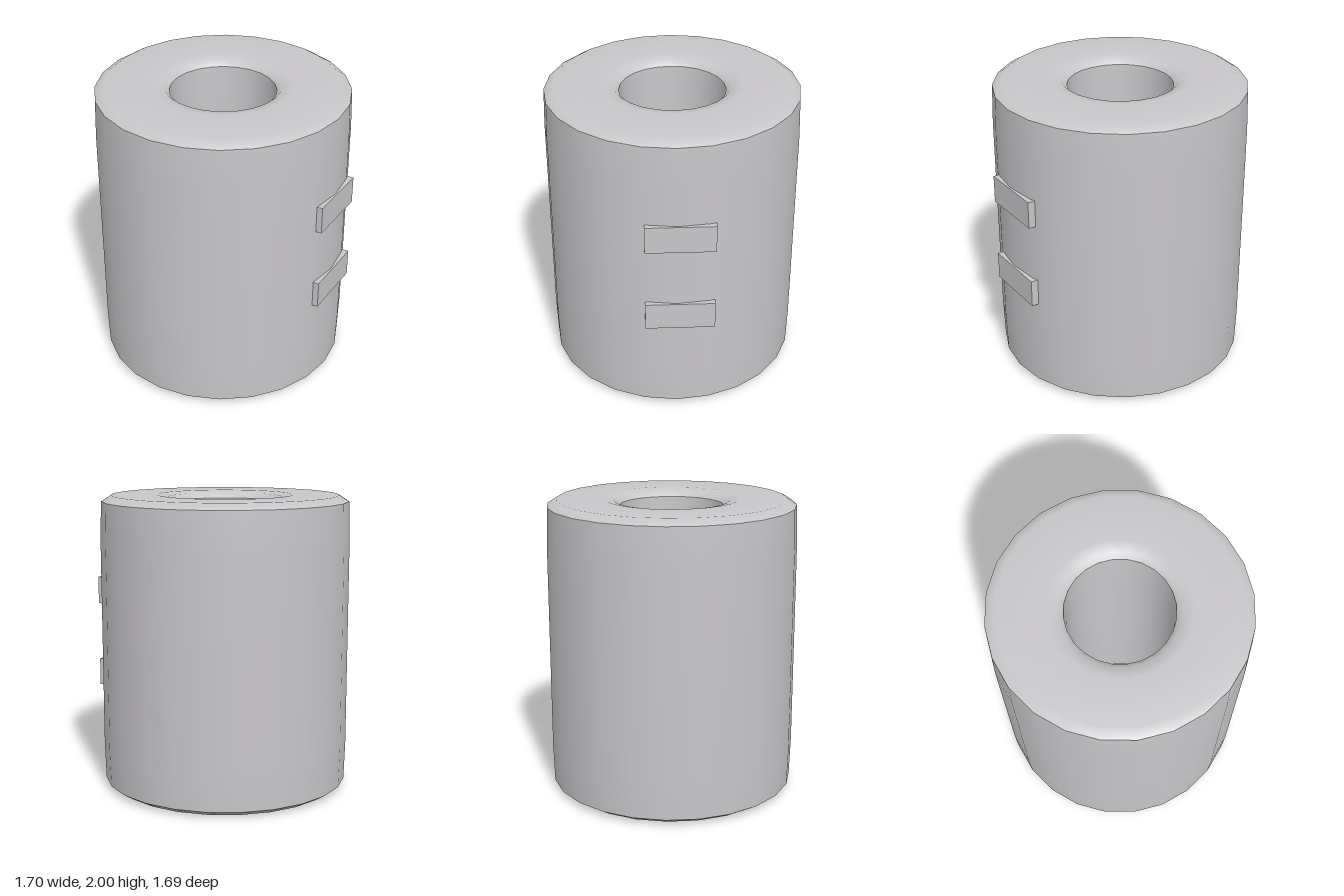
import * as THREE from 'three';

export function createModel() {
  const model = new THREE.Group();
  const grey = new THREE.MeshStandardMaterial({ color: 0xc8c6c9 });
  grey.name = 'light grey';

  const sleeve = new THREE.Group();
  sleeve.name = 'sleeve';
  sleeve.position.x = -0.007;
  model.add(sleeve);

  // Each surface is turned on its own, so the rims between them stay sharp
  const turn = (name, profile) => {
    const points = profile.map(([r, y]) => new THREE.Vector2(r, y));
    const mesh = new THREE.Mesh(new THREE.LatheGeometry(points, 24), grey);
    mesh.name = name;
    sleeve.add(mesh);
  };

  // Slightly barrelled outside
  turn('outerWall', [[0.835, 0.04], [0.843, 0.3], [0.843, 1.7], [0.835, 1.96]]);
  // Ends with softened outer and inner rims
  turn('topEnd', [[0.835, 1.96], [0.77, 2], [0.46, 2], [0.385, 1.985], [0.35, 1.95]]);
  turn('bottomEnd', [[0.35, 0.05], [0.385, 0.015], [0.46, 0], [0.77, 0], [0.835, 0.04]]);
  // Straight bore
  turn('bore', [[0.35, 1.95], [0.345, 1.7], [0.345, 0.3], [0.35, 0.05]]);

  // Two flat pads on the left side
  for (const [name, y] of [['lowerPad', 0.75], ['upperPad', 1.33]]) {
    const pad = new THREE.Mesh(new THREE.BoxGeometry(0.06, 0.185, 0.45), grey);
    pad.name = name;
    pad.position.set(0.816, y, -0.023);
    pad.rotation.y = 0.012;
    model.add(pad);
  }

  return model;
}
